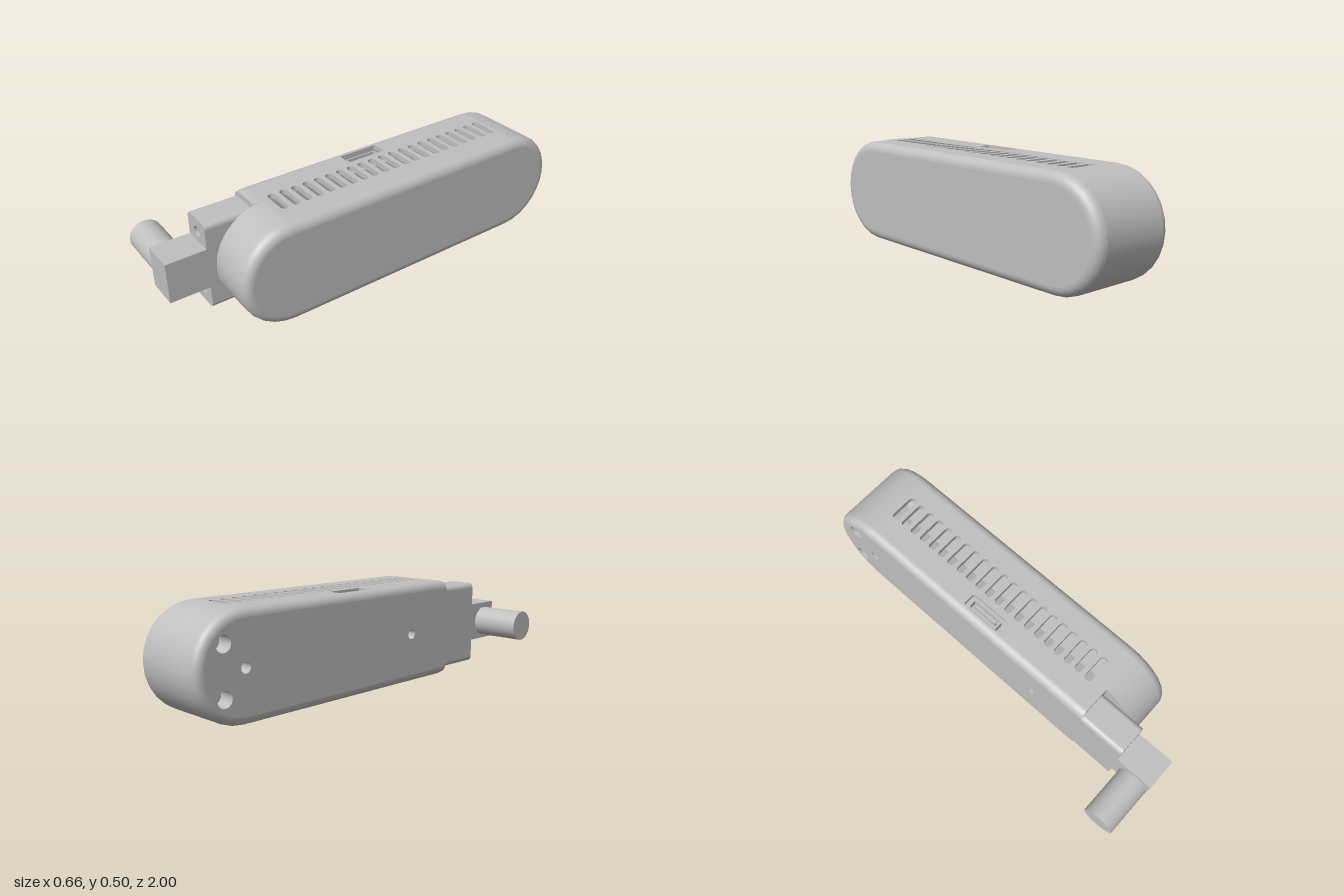
import * as THREE from 'three';

const R = 0.25, MID = 0.25;          // capsule radius and centre height
const BACK = -0.75, FRONT = 0.53;    // centres of the round ends
const CUT = 0.58;                    // flat end that carries the bracket
const XL = -0.083, XR = 0.33, XCUT = 0.09, BL = 0.04, BR = 0.045;
const PI = Math.PI;

const grey = new THREE.MeshStandardMaterial({ color: 0xbfbfbf, side: THREE.DoubleSide });
grey.name = 'grey plastic';

// Stations along an arc; each gives [z, y] for a radius. Angles may depend on it.
function arc(cz, a0, a1, n = 14) {
  const val = (a, r) => (typeof a === 'function' ? a(r) : a);
  return Array.from({ length: n + 1 }, (_, i) => (r) => {
    const a = THREE.MathUtils.lerp(val(a0, r), val(a1, r), i / n);
    return [cz + r * Math.cos(a), MID + r * Math.sin(a)];
  });
}
const cutAngle = (r) => Math.acos((CUT - FRONT) / r);
const backArc = arc(BACK, PI / 2, 1.5 * PI);
const frontArc = arc(FRONT, -PI / 2, PI / 2);
const cutTop = arc(FRONT, cutAngle, PI / 2, 3);
const cutBottom = arc(FRONT, 1.5 * PI, (r) => 2 * PI - cutAngle(r), 3);
const fullLoop = [...frontArc, ...backArc, frontArc[0]];
const cutLoop = [...cutTop, ...backArc, ...cutBottom];

// Sweep a profile of [x, inset] points along stations
function sweep(profile, stations) {
  const pos = [], idx = [], m = profile.length;
  stations.forEach((s, i) => profile.forEach(([x, d], j) => {
    const [z, y] = s(R - d);
    pos.push(x, y, z);
    if (i && j) {
      const c = i * m + j, a = c - m;
      idx.push(a - 1, a, c - 1, a, c, c - 1);
    }
  }));
  const g = new THREE.BufferGeometry();
  g.setAttribute('position', new THREE.Float32BufferAttribute(pos, 3));
  g.setIndex(idx);
  g.computeVertexNormals();
  return g;
}

// Flat face looking along +x (side 1) or -x (side -1)
function sideFace(stations, r, x, side, holes = []) {
  const shape = new THREE.Shape(stations.map((s) => {
    const [z, y] = s(r);
    return new THREE.Vector2(-side * z, y);
  }));
  for (const [z, y, hr] of holes) shape.holes.push(circle(-side * z, y, hr));
  return new THREE.ShapeGeometry(shape).rotateY(side * PI / 2).translate(x, 0, 0);
}

function circle(x, y, r) {
  return new THREE.Path().absarc(x, y, r, 0, 2 * PI, true);
}
function slot(x0, x1, z, r) {
  const p = new THREE.Path();
  p.absarc(x1 - r, z, r, -PI / 2, PI / 2);
  p.absarc(x0 + r, z, r, PI / 2, 1.5 * PI);
  return p;
}
function roundRect(x0, y0, x1, y1, r, Type = THREE.Path) {
  const p = new Type();
  p.absarc(x1 - r, y0 + r, r, -PI / 2, 0);
  p.absarc(x1 - r, y1 - r, r, 0, PI / 2);
  p.absarc(x0 + r, y1 - r, r, PI / 2, PI);
  p.absarc(x0 + r, y0 + r, r, PI, 1.5 * PI);
  return p;
}

export function createModel() {
  const model = new THREE.Group();
  model.name = 'capsuleDevice';
  const add = (name, geo, x = 0, y = 0, z = 0, parent = model) => {
    const mesh = new THREE.Mesh(geo, grey);
    mesh.name = name;
    mesh.position.set(x, y, z);
    parent.add(mesh);
    return mesh;
  };
  const box = (name, x0, x1, y0, y1, z0, z1) => add(name,
    new THREE.BoxGeometry(x1 - x0, y1 - y0, z1 - z0), (x0 + x1) / 2, (y0 + y1) / 2, (z0 + z1) / 2);
  // Blind hole whose mouth is at the origin, sinking along -y before rotation
  const cup = (name, r, depth, x, y, z, rx, rz) => {
    const g = new THREE.Group();
    g.name = name;
    add('holeWall', new THREE.CylinderGeometry(r, r, depth, 24, 1, true), 0, -depth / 2, 0, g);
    add('holeFloor', new THREE.CircleGeometry(r, 24).rotateX(-PI / 2), 0, -depth, 0, g);
    g.position.set(x, y, z);
    g.rotation.set(rx, 0, rz);
    model.add(g);
  };

  // Rounded edges
  const N = 8, leftEdge = [], rightEdge = [];
  for (let i = 0; i <= N; i++) {
    const s = Math.sin(i / N * PI / 2), c = Math.cos(i / N * PI / 2);
    leftEdge.push([XL + BL * (1 - c), BL * (1 - s)]);
    rightEdge.push([XR - BR * (1 - s), BR * (1 - c)]);
  }
  add('outerEdge', sweep(rightEdge, fullLoop));
  add('innerEdge', sweep(leftEdge, cutLoop));

  // Round ends
  const xa = XL + BL, xb = XR - BR;
  add('backEnd', sweep([[xa, 0], [xb, 0]], backArc));
  add('frontEnd', sweep([[XCUT, 0], [xb, 0]], frontArc));
  for (const part of [cutTop, cutBottom]) add('frontShoulder', sweep([[xa, 0], [XCUT, 0]], part));

  // Large side faces
  const screws = [[0.3, MID, 0.025], [BACK, MID, 0.025]];
  const ports = [[-0.86, MID + 0.115, 0.038], [-0.86, MID - 0.115, 0.038]];
  const sideHoles = [...screws, ...ports];
  add('outerFace', sideFace(fullLoop.slice(0, -1), R - BR, XR, 1));
  add('innerFace', sideFace(cutLoop, R - BL, XL, -1, sideHoles));
  for (const [z, y, r] of sideHoles) cup('sideHole', r, 0.08, XL, y, z, 0, PI / 2);

  // Step behind the bracket
  add('stepWall', sideFace(arc(FRONT, (r) => -cutAngle(r), cutAngle, 12), R, XCUT, -1));
  const half = [...leftEdge, [XCUT, 0]].map(([x, d]) => [x, Math.sqrt((R - d) ** 2 - (CUT - FRONT) ** 2)]);
  const endShape = new THREE.Shape([
    ...half.map(([x, h]) => new THREE.Vector2(x, MID - h)),
    ...half.reverse().map(([x, h]) => new THREE.Vector2(x, MID + h))]);
  add('stepEnd', new THREE.ShapeGeometry(endShape), 0, 0, CUT);

  // Top and bottom panels with vent slots
  const T = 0.025, mountX = 0.125, mountZ = -0.115;
  const panel = (top) => {
    const s = new THREE.Shape();
    s.moveTo(xa, BACK).lineTo(xb, BACK).lineTo(xb, FRONT).lineTo(xa, FRONT).closePath();
    for (let i = 0; i < 21; i++) {
      if (top || Math.abs(i - 10) > 2) s.holes.push(slot(0.06, 0.2, -0.715 + i * 0.06, 0.018));
    }
    s.holes.push(top ? roundRect(-0.04, -0.165, 0.03, 0.04, 0.015) : circle(mountX, mountZ, 0.06));
    return new THREE.ExtrudeGeometry(s, { depth: T, bevelEnabled: false, curveSegments: 8 }).rotateX(PI / 2);
  };
  add('topPanel', panel(true), 0, 2 * R, 0);
  add('bottomPanel', panel(false), 0, T, 0);
  cup('mountHole', 0.06, 0.09, mountX, 0, mountZ, PI, 0);

  // Parts inside the shell
  box('battery', 0.132, 0.27, 0.11, 0.42, -0.72, 0.5);
  box('portFloor', -0.06, 0.04, 0.42, 0.44, -0.18, 0.055);
  const port = roundRect(-0.03, -0.15, 0.022, 0.02, 0.01, THREE.Shape);
  port.holes.push(roundRect(-0.023, -0.143, 0.015, 0.013, 0.006));
  add('port', new THREE.ExtrudeGeometry(port, { depth: 0.04, bevelEnabled: false }).rotateX(PI / 2), 0, 0.48, 0);
  box('portTongue', -0.008, 0.002, 0.44, 0.475, -0.13, 0);

  // Bracket with two screw holes
  const bx = 0.075, hx = -0.004;
  const plate = roundRect(XL, 0.035, bx, 0.467, 0.025, THREE.Shape);
  for (const y of [0.1, 0.4]) {
    plate.holes.push(circle(hx, y, 0.025));
    cup('bracketScrew', 0.016, 0.06, hx, y, 0.72, PI / 2, 0);
    add('screwSeat', new THREE.RingGeometry(0.016, 0.025, 24), hx, y, 0.72);
  }
  add('bracket', new THREE.ExtrudeGeometry(plate, { depth: 0.81 - CUT, bevelEnabled: false, curveSegments: 8 }), 0, 0, CUT);
  box('bracketArm', XL, bx, 0.152, 0.35, 0.81, 1);

  // Round peg
  add('peg', new THREE.CylinderGeometry(0.077, 0.077, 0.25, 40).rotateZ(PI / 2), XL - 0.125, 0.247, 0.92);
  return model;
}
